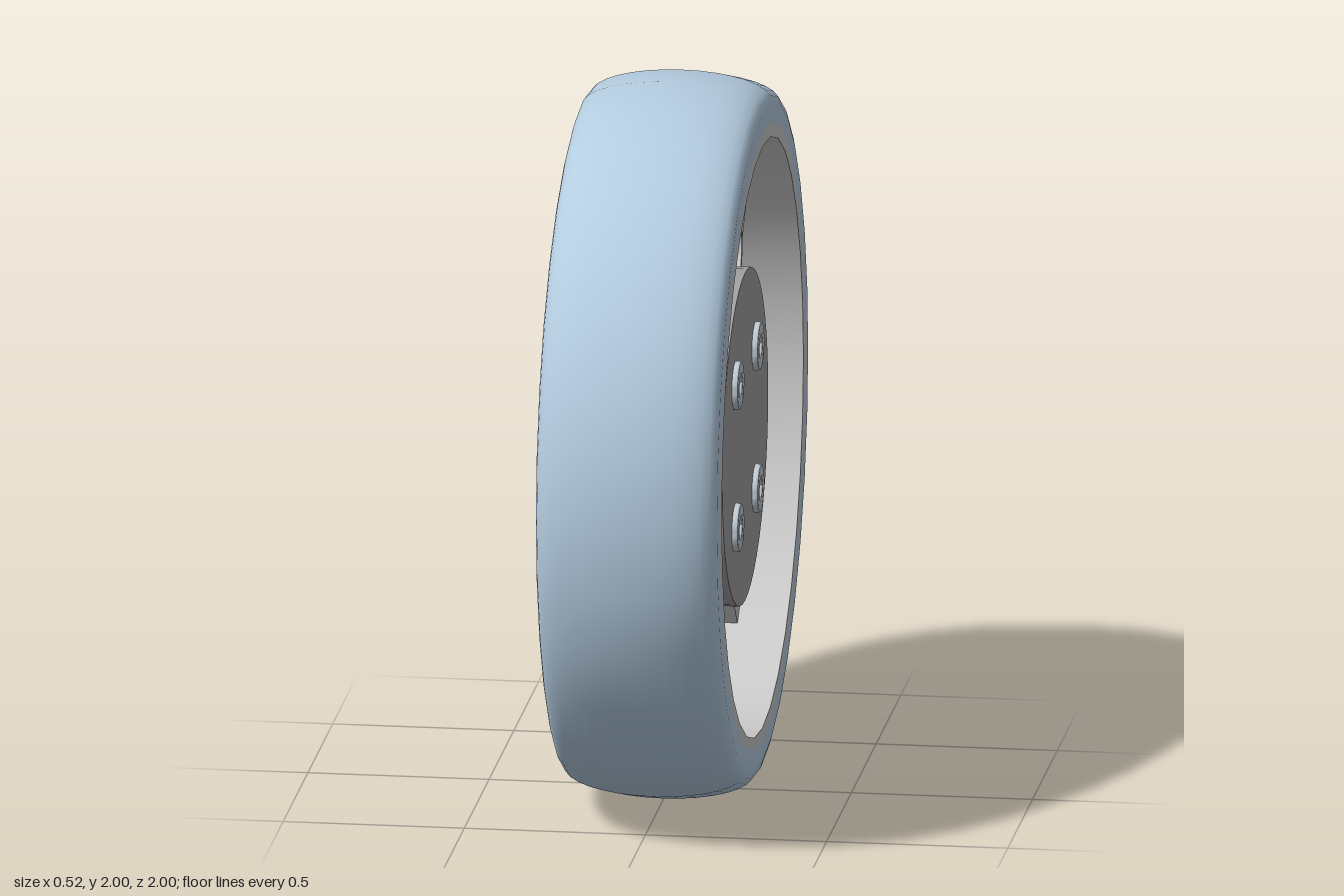
import * as THREE from 'three';
import { toCreasedNormals } from 'three/addons/utils/BufferGeometryUtils.js';

const material = (color) => new THREE.MeshStandardMaterial({ color });
const GREY = material(0xcccccc);
const TIRE = material(0xb4cce0);
const PLATE = material(0xa0a0a0);
const FLANGE = material(0x74767e);
const STEEL = material(0xc2ccd4);

function mesh(name, geometry, mat) {
  const m = new THREE.Mesh(toCreasedNormals(geometry, 0.6), mat);
  m.name = name;
  return m;
}

// Profile of [radius, x] pairs, turned about the x axis
function turned(name, points, mat, segments = 32) {
  const g = new THREE.LatheGeometry(points.map(([r, x]) => new THREE.Vector2(r, x)), segments);
  return mesh(name, g.rotateZ(-Math.PI / 2), mat);
}

// Flat shape extruded along x, from x0 to x1
function slab(name, shape, x0, x1, mat, bevel = 0) {
  const g = new THREE.ExtrudeGeometry(shape, {
    depth: x1 - x0 - 2 * bevel, curveSegments: 24,
    bevelEnabled: bevel > 0, bevelSize: bevel, bevelThickness: bevel, bevelOffset: -bevel, bevelSegments: 2,
  });
  return mesh(name, g.rotateY(Math.PI / 2).translate(x0 + bevel, 0, 0), mat);
}

function circle(r, x = 0, y = 0, Type = THREE.Shape) {
  return new Type().absarc(x, y, r, 0, Math.PI * 2, false);
}

function polygon(r, sides, Type) {
  const pts = [];
  for (let i = 0; i < sides; i++) {
    const a = (i / sides) * Math.PI * 2;
    pts.push(new THREE.Vector2(r * Math.cos(a), r * Math.sin(a)));
  }
  return new Type(pts);
}

export function createModel() {
  const model = new THREE.Group();
  model.name = 'wheel';
  const wheel = new THREE.Group();
  wheel.name = 'wheelAssembly';
  wheel.position.y = 1;
  model.add(wheel);

  // Tire with a gently crowned tread and rounded shoulders
  const tread = [[0.86, -0.25], [0.9, -0.25]];
  for (let i = 0; i <= 16; i++) {
    const a = -Math.PI / 2 + (i / 16) * Math.PI;
    tread.push([0.92 + 0.08 * Math.cos(a) ** 0.9, 0.25 * Math.sin(a)]);
  }
  tread.push([0.9, 0.25], [0.86, 0.25]);
  const tire = turned('tire', tread, TIRE);
  tire.position.x = 0.005;
  wheel.add(tire);

  // Rim band
  const rim = turned('rim', [[0.825, -0.25], [0.864, -0.25], [0.864, 0.25], [0.825, 0.25], [0.825, -0.25]], GREY);
  rim.position.x = 0.005;
  wheel.add(rim);

  // Hub between the two plates
  wheel.add(turned('hub', [[0, -0.147], [0.4, -0.147], [0.4, 0.145], [0, 0.145]], GREY, 48));

  // Four diagonal spokes, each with a bushed through hole
  const holeAt = 0.573;
  const spokeShape = new THREE.Shape([
    new THREE.Vector2(0.34, -0.13), new THREE.Vector2(0.838, -0.13),
    new THREE.Vector2(0.838, 0.13), new THREE.Vector2(0.34, 0.13),
  ]);
  spokeShape.holes.push(circle(0.112, holeAt, 0, THREE.Path));
  for (let i = 0; i < 4; i++) {
    const arm = new THREE.Group();
    arm.name = 'spokeArm';
    arm.rotation.x = Math.PI / 4 + (i * Math.PI) / 2;
    const bushing = turned('bushing', [
      [0.088, -0.13], [0.106, -0.13], [0.115, -0.122], [0.115, 0.122],
      [0.106, 0.13], [0.088, 0.13], [0.088, -0.13],
    ], GREY);
    bushing.position.z = -holeAt;
    arm.add(slab('spoke', spokeShape, -0.12, 0.12, GREY), bushing);
    wheel.add(arm);
  }

  // Outer cover plate
  wheel.add(slab('coverPlate', circle(0.465), 0.14, 0.207, PLATE));

  // Mounting flange with a centre bore and four bolt holes
  const flange = circle(0.465);
  flange.holes.push(circle(0.108, 0, 0, THREE.Path));
  for (let i = 0; i < 4; i++) {
    const a = (i * Math.PI) / 2;
    flange.holes.push(circle(0.043, 0.21 * Math.cos(a), 0.21 * Math.sin(a), THREE.Path));
  }
  wheel.add(slab('mountingFlange', flange, -0.262, -0.146, FLANGE));

  // Socket head screws on the cover plate
  const head = circle(0.067);
  head.holes.push(polygon(0.032, 6, THREE.Path));
  for (const y of [-0.202, 0.202]) {
    for (const z of [-0.202, 0.202]) {
      const screw = new THREE.Group();
      screw.name = 'screw';
      screw.position.set(0, y, z);
      screw.add(slab('screwHead', head, 0.2, 0.224, STEEL, 0.006));
      screw.add(slab('socketFloor', circle(0.045), 0.2, 0.209, STEEL));
      wheel.add(screw);
    }
  }

  return model;
}
